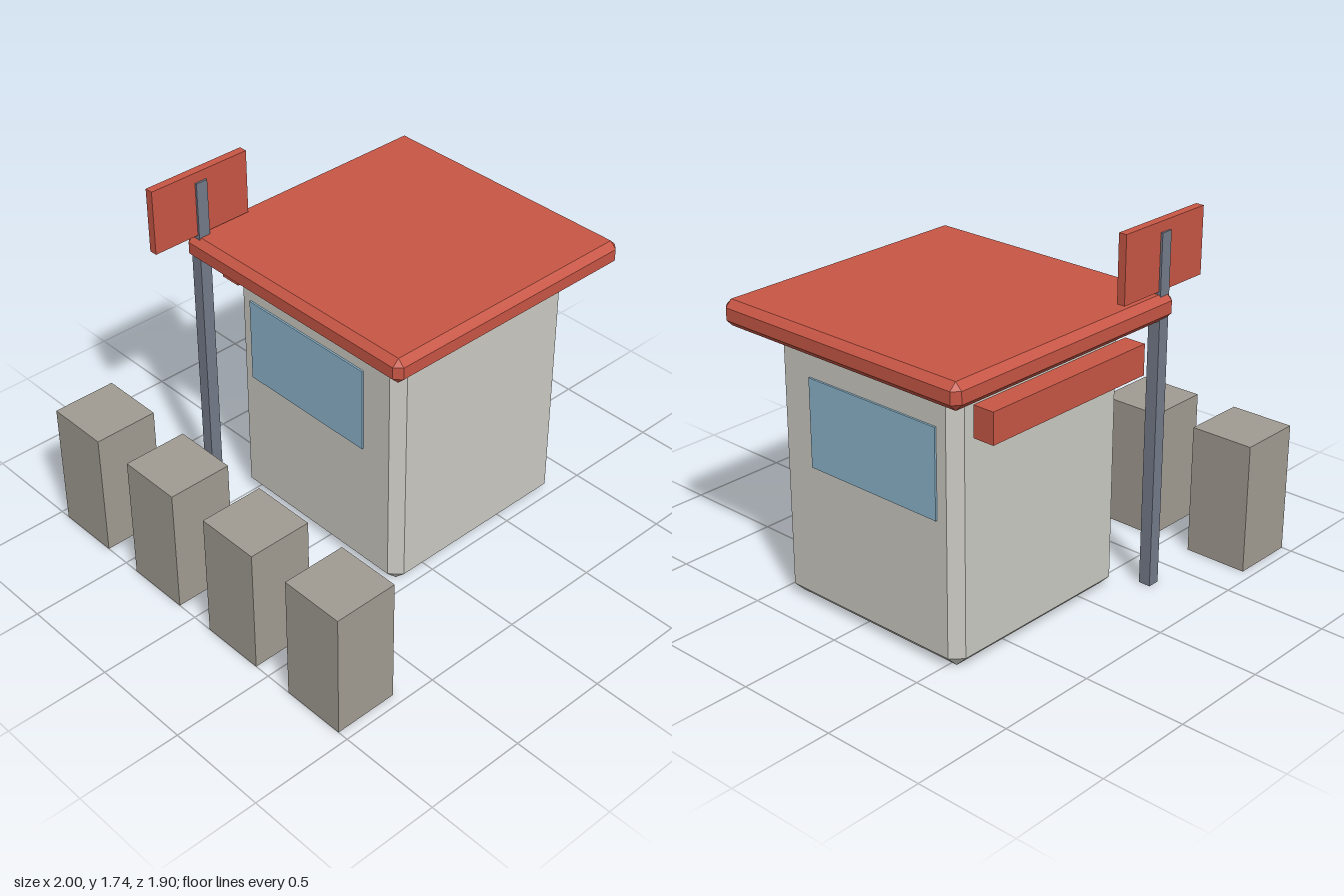
import * as THREE from 'three';
import { ConvexGeometry } from 'three/addons/geometries/ConvexGeometry.js';

const flat = (name, color) => {
  const m = new THREE.MeshStandardMaterial({ color });
  m.name = name;
  return m;
};

// Box with every edge cut at 45 degrees by c
function chamferedBox(w, h, d, c) {
  const points = [];
  for (const x of [-1, 1]) for (const y of [-1, 1]) for (const z of [-1, 1]) {
    for (let axis = 0; axis < 3; axis++) {
      const cut = [c, c, c];
      cut[axis] = 0;
      points.push(new THREE.Vector3(
        x * (w / 2 - cut[0]), y * (h / 2 - cut[1]), z * (d / 2 - cut[2])));
    }
  }
  return new ConvexGeometry(points);
}

export function createModel() {
  const wall = flat('wall grey', 0xcbcac3);
  const red = flat('red', 0xc75645);
  const glass = flat('window blue', 0x8cb5cd);
  const stone = flat('stone', 0xa19b92);
  const steel = flat('steel', 0x757b8a);

  const model = new THREE.Group();
  model.name = 'kiosk';

  // Adds a block spanning the given x, y and z ranges
  function block(name, material, [x0, x1], [y0, y1], [z0, z1], chamfer = 0) {
    const size = [x1 - x0, y1 - y0, z1 - z0];
    const geometry = chamfer ? chamferedBox(...size, chamfer) : new THREE.BoxGeometry(...size);
    const mesh = new THREE.Mesh(geometry, material);
    mesh.name = name;
    mesh.position.set((x0 + x1) / 2, (y0 + y1) / 2, (z0 + z1) / 2);
    model.add(mesh);
    return mesh;
  }

  // Booth with overhanging roof
  block('booth', wall, [-0.213, 0.841], [0, 1.265], [-0.581, 0.475], 0.053);
  block('roof', red, [-0.37, 1], [1.29, 1.412], [-0.738, 0.631], 0.032);

  // Side windows, standing just proud of the walls
  block('windowLeft', glass, [0.842, 0.851], [0.688, 1.109], [-0.476, 0.263]);
  block('windowRight', glass, [-0.223, -0.214], [0.688, 1.109], [-0.476, 0.263]);

  // Awning box behind the booth
  block('rearAwning', red, [-0.16, 0.79], [1.09, 1.235], [-0.738, -0.632]);

  // Sign on its post
  block('signPost', steel, [-0.347, -0.287], [0, 1.69], [-0.715, -0.655]);
  block('signBoard', red, [-0.582, -0.055], [1.425, 1.74], [-0.705, -0.665]);

  // Row of stone blocks along the right side
  for (let i = 0; i < 4; i++) {
    const z = -0.79 + i * (1.58 / 3);
    block('stoneBlock' + (i + 1), stone, [-1, -0.685], [0, 0.633], [z - 0.158, z + 0.158]);
  }

  return model;
}
